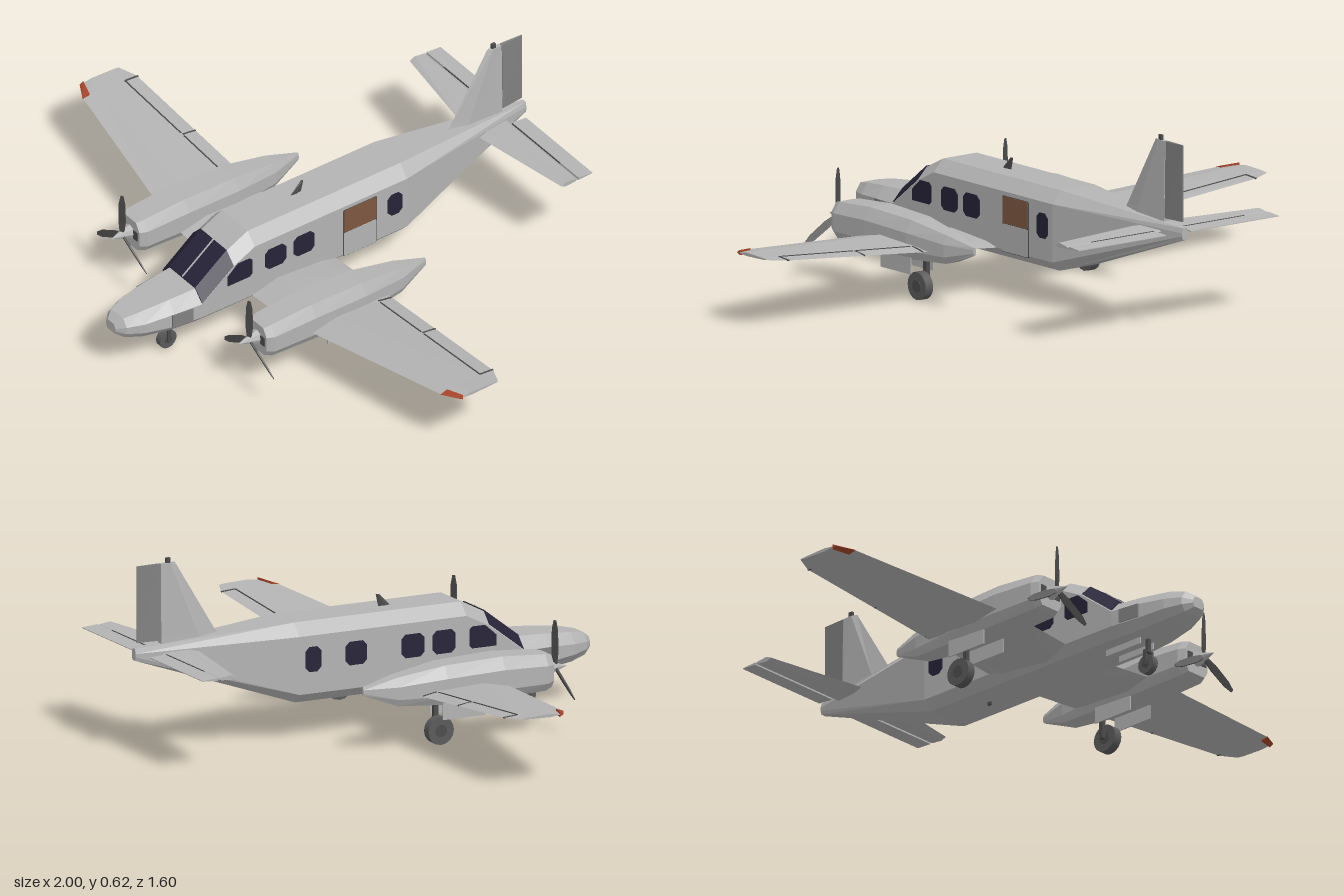
import * as THREE from 'three';

const mat = (name, color) => Object.assign(new THREE.MeshStandardMaterial({ color }), { name });

// Flat-shaded closed solid through rings of [x, y, z] points, always facing outward
function loft(rings) {
  const tris = [], n = rings[0].length, last = rings.length - 1;
  for (let i = 0; i < last; i++) {
    for (let j = 0; j < n; j++) {
      const k = (j + 1) % n;
      const a = rings[i][j], b = rings[i][k], c = rings[i + 1][k], d = rings[i + 1][j];
      tris.push([a, b, c], [a, c, d]);
    }
  }
  for (let j = 1; j < n - 1; j++) {
    tris.push([rings[0][0], rings[0][j + 1], rings[0][j]]);
    tris.push([rings[last][0], rings[last][j], rings[last][j + 1]]);
  }
  const o = new THREE.Vector3(...rings[0][0]);
  const v = (p) => new THREE.Vector3(...p).sub(o);
  const volume = tris.reduce((s, [a, b, c]) => s + v(a).dot(v(b).cross(v(c))), 0);
  if (volume < 0) tris.forEach((t) => t.reverse());
  const g = new THREE.BufferGeometry();
  g.setAttribute('position', new THREE.Float32BufferAttribute(tris.flat(2), 3));
  g.computeVertexNormals();
  return g;
}

// Eight-sided hull section; c is the corner height
function hullRing([z, w, yb, yt, c]) {
  const t = w * 0.64, b = w * 0.72, lo = yb + c, hi = yt - c * 1.3;
  return [[w, lo, z], [w, hi, z], [t, yt, z], [-t, yt, z], [-w, hi, z], [-w, lo, z], [-b, yb, z], [b, yb, z]];
}

// Six-point airfoil: leading edge z, trailing edge z, hinge z, half thickness
const foil = (x, y, le, te, hinge, t) => {
  const m = le - (le - te) * 0.3;
  return [[x, y, le], [x, y + t, m], [x, y + t * 0.5, hinge], [x, y, te], [x, y - t * 0.4, hinge], [x, y - t * 0.8, m]];
};

export function createModel() {
  const M = {
    body: mat('body grey', 0xb4b3b3),
    rudder: mat('rudder grey', 0x808080),
    dark: mat('dark metal', 0x4c4c4c),
    tyre: mat('tyre grey', 0x5a5a5a),
    glass: mat('window glass', 0x262338),
    cabin: mat('cabin brown', 0x7d5840),
    light: mat('light orange', 0xa8452a),
  };
  const model = new THREE.Group();
  const add = (name, geo, material, parent = model, pos = [0, 0, 0]) => {
    const m = new THREE.Mesh(geo, material);
    m.name = name;
    m.position.set(...pos);
    parent.add(m);
    return m;
  };
  const box = (name, size, pos, material, parent) =>
    add(name, new THREE.BoxGeometry(...size), material, parent, pos);

  // Fuselage
  add('fuselage', loft([
    [0.80, 0.025, 0.16, 0.195, 0.011], [0.775, 0.05, 0.145, 0.215, 0.02],
    [0.72, 0.074, 0.133, 0.226, 0.026], [0.62, 0.093, 0.122, 0.235, 0.028],
    [0.525, 0.104, 0.12, 0.24, 0.03], [0.40, 0.105, 0.12, 0.335, 0.03],
    [0.32, 0.105, 0.12, 0.375, 0.03], [-0.27, 0.105, 0.12, 0.375, 0.03],
    [-0.80, 0.012, 0.30, 0.338, 0.012],
  ].map(hullRing)), M.body);

  // Windshield wrapping over the upper three hull faces
  add('windshield', loft([[0.523, 0.106, 0.12, 0.245, 0.03], [0.402, 0.107, 0.12, 0.338, 0.03]]
    .map((r) => hullRing(r).slice(1, 5))), M.glass);
  const post = box('windshieldPost', [0.005, 0.004, 0.152], [0, 0.292, 0.4625], M.body);
  post.rotation.x = Math.atan2(0.093, 0.121);

  // Thin plate on the cabin wall from a [z, y] outline
  const plate = (name, side, outline, material, x = 0.108) =>
    add(name, loft([0.102, x].map((px) => outline.map(([z, y]) => [side * px, y, z]))), material);
  const rounded = (z, y, w, h, c) => {
    const a = w / 2, b = h / 2;
    return [[a - c, b], [a, b - c], [a, c - b], [a - c, -b], [c - a, -b], [-a, c - b], [-a, b - c], [c - a, b]]
      .map(([dz, dy]) => [z + dz, y + dy]);
  };
  for (const s of [1, -1]) {
    const windows = [[-0.222, 0.26, 0.055, 0.08], [0.13, 0.263, 0.08, 0.075], [0.24, 0.263, 0.08, 0.075]];
    if (s < 0) windows.push([-0.07, 0.263, 0.075, 0.075]);
    windows.forEach(([z, y, w, h]) => plate('cabinWindow', s, rounded(z, y, w, h, 0.014), M.glass));
    plate('cockpitWindow', s, [[0.33, 0.24], [0.33, 0.29], [0.34, 0.30], [0.385, 0.30], [0.425, 0.265],
      [0.425, 0.23], [0.34, 0.23]], M.glass);
    // Nose baggage hatch
    const hatch = box('noseHatch', [0.006, 0.045, 0.075], [s * 0.0965, 0.176, 0.592], M.rudder);
    hatch.rotation.y = -s * 0.116;
  }
  // Side door: dark surround, open upper half, closed lower half
  plate('doorSurround', 1, rounded(-0.0875, 0.233, 0.131, 0.18, 0.004), M.dark, 0.1055);
  plate('doorOpening', 1, rounded(-0.0875, 0.278, 0.125, 0.086, 0.006), M.cabin, 0.107);
  plate('lowerDoor', 1, rounded(-0.0875, 0.189, 0.126, 0.088, 0.003), M.body, 0.107);

  // Roof and belly antennas
  add('roofAntenna', loft([[0.37, 0.11, 0.065], [0.413, 0.068, 0.055]].map(([y, f, b]) =>
    [[0, y, f], [0.004, y, (f + b) / 2], [0, y, b], [-0.004, y, (f + b) / 2]])), M.dark);
  box('bellyAntenna', [0.008, 0.014, 0.012], [0, 0.117, -0.09], M.dark);

  // Fin, rudder and beacon
  const upright = (rows) => loft(rows.map(([y, f, b, t]) => {
    const m = f + (b - f) * 0.35;
    return [[0, y, f], [t, y, m], [t * 0.8, y, b], [-t * 0.8, y, b], [-t, y, m]];
  }));
  add('fin', upright([[0.335, -0.49, -0.708, 0.014], [0.37, -0.515, -0.708, 0.013], [0.60, -0.655, -0.708, 0.008]]), M.body);
  add('rudder', loft([[0.355, 0.01], [0.60, 0.006]].map(([y, t]) =>
    [[t, y, -0.71], [0.002, y, -0.79], [-0.002, y, -0.79], [-t, y, -0.71]])), M.rudder);
  box('finBeacon', [0.01, 0.018, 0.014], [0, 0.607, -0.68], M.dark);

  // Sides mirrored by direction s
  for (const s of [1, -1]) {
    // Wing with dihedral and clipped tip
    const wingY = (x) => 0.148 + (x - 0.08) * 0.089;
    const wingT = (x) => 0.027 - x * 0.021;
    add('wing', loft([[0.02, 0.33, 0.005], [0.28, 0.33, 0.005], [0.4, 0.313, 0.006], [0.94, 0.215, 0.01], [1, 0.182, 0.035]]
      .map(([x, le, te]) => foil(s * x, wingY(x), le, te, 0.058, wingT(x)))), M.body);
    // Control surface seams
    const seam = (a, b) => {
      const x = (a + b) / 2;
      const m = box('hingeSeam', [b - a, 0.004, 0.004], [s * x, wingY(x) + wingT(x) * 0.5, 0.058], M.dark);
      m.rotation.z = s * 0.079;
    };
    seam(0.41, 0.625);
    seam(0.64, 0.935);
    for (const x of [0.4, 0.632, 0.935]) {
      const gap = box('surfaceGap', [0.005, 0.004, 0.05], [s * x, wingY(x) + wingT(x) * 0.27, 0.033], M.dark);
      gap.rotation.x = -wingT(x) * 9;
    }
    // Tip light on the clipped leading corner
    add('tipLight', loft([[0.942, 0.217, 0.19], [1.0, 0.186, 0.172]].map(([x, f, b]) => {
      const y = wingY(x);
      return [[s * x, y, f], [s * x, y + 0.009, b], [s * x, y - 0.008, b]];
    })), M.light);

    // Horizontal stabilizer and elevator
    add('stabilizer', loft([[0.0, -0.585], [0.4, -0.65]].map(([x, le]) =>
      foil(s * x, 0.315, le, -0.714, -0.705, 0.009))), M.body);
    add('elevator', loft([0.05, 0.4].map((x) =>
      [[s * x, 0.32, -0.716], [s * x, 0.316, -0.77], [s * x, 0.314, -0.77], [s * x, 0.311, -0.716]])), M.body);
    box('elevatorSeam', [0.25, 0.003, 0.003], [s * 0.18, 0.32, -0.714], M.dark);

    // Engine nacelle
    const engine = new THREE.Group();
    engine.name = 'engine';
    engine.position.x = s * 0.335;
    model.add(engine);
    add('nacelle', loft([
      [0.48, 0.05, 0.148, 0.25, 0.022], [0.455, 0.062, 0.14, 0.256, 0.026], [0.3, 0.066, 0.135, 0.267, 0.03],
      [0.1, 0.06, 0.135, 0.26, 0.03], [-0.06, 0.037, 0.145, 0.236, 0.022], [-0.17, 0.005, 0.187, 0.212, 0.006],
    ].map(hullRing)), M.body, engine);
    for (const i of [1, -1]) box('airIntake', [0.022, 0.032, 0.006], [i * 0.031, 0.2, 0.48], M.dark, engine);

    // Spinner and three-blade propeller
    const spinner = new THREE.ConeGeometry(0.025, 0.075, 8).toNonIndexed();
    spinner.rotateX(Math.PI / 2);
    spinner.computeVertexNormals();
    add('spinner', spinner, M.body, engine, [0, 0.2, 0.516]);
    for (let i = 0; i < 3; i++) {
      const blade = add('propellerBlade', loft([[0.005, 0.006, 0.004], [0.05, 0.012, 0.003], [0.12, 0.011, 0.002], [0.15, 0.005, 0.001]]
        .map(([y, w, t]) => [[w, y, t], [-w, y, t], [-w, y, -t], [w, y, -t]])), M.dark, engine, [0, 0.2, 0.51]);
      blade.rotation.set(0, 0, i * Math.PI * 2 / 3);
      blade.rotateY(0.4);
    }

    // Main gear
    wheel('mainWheel', engine, 0.045, 0.03, [0, 0.045, 0.1]);
    box('mainStrut', [0.014, 0.11, 0.016], [-s * 0.024, 0.095, 0.1], M.dark, engine);
    box('mainAxle', [0.035, 0.012, 0.012], [-s * 0.012, 0.045, 0.1], M.dark, engine);
    for (const i of [1, -1]) box('mainGearDoor', [0.004, 0.055, 0.15], [i * 0.045, 0.115, 0.165], M.body, engine);
    // Nose gear doors
    box('noseGearDoor', [0.004, 0.03, 0.145], [s * 0.03, 0.114, 0.508], M.body);
  }

  // Nose gear
  wheel('noseWheel', model, 0.032, 0.022, [0, 0.034, 0.585]);
  box('noseStrut', [0.012, 0.05, 0.012], [0, 0.1, 0.585], M.dark);
  for (const i of [1, -1]) box('noseFork', [0.005, 0.05, 0.012], [i * 0.015, 0.054, 0.585], M.dark);
  box('noseForkBridge', [0.035, 0.006, 0.012], [0, 0.078, 0.585], M.dark);

  // Tyre with a hub on both faces
  function wheel(name, parent, r, w, pos) {
    const tyre = new THREE.CylinderGeometry(r, r, w, 16).rotateZ(Math.PI / 2);
    add(name, tyre, M.tyre, parent, pos);
    add(name + 'Hub', new THREE.CylinderGeometry(r * 0.45, r * 0.45, w + 0.004, 10).rotateZ(Math.PI / 2), M.dark, parent, pos);
  }
  return model;
}
